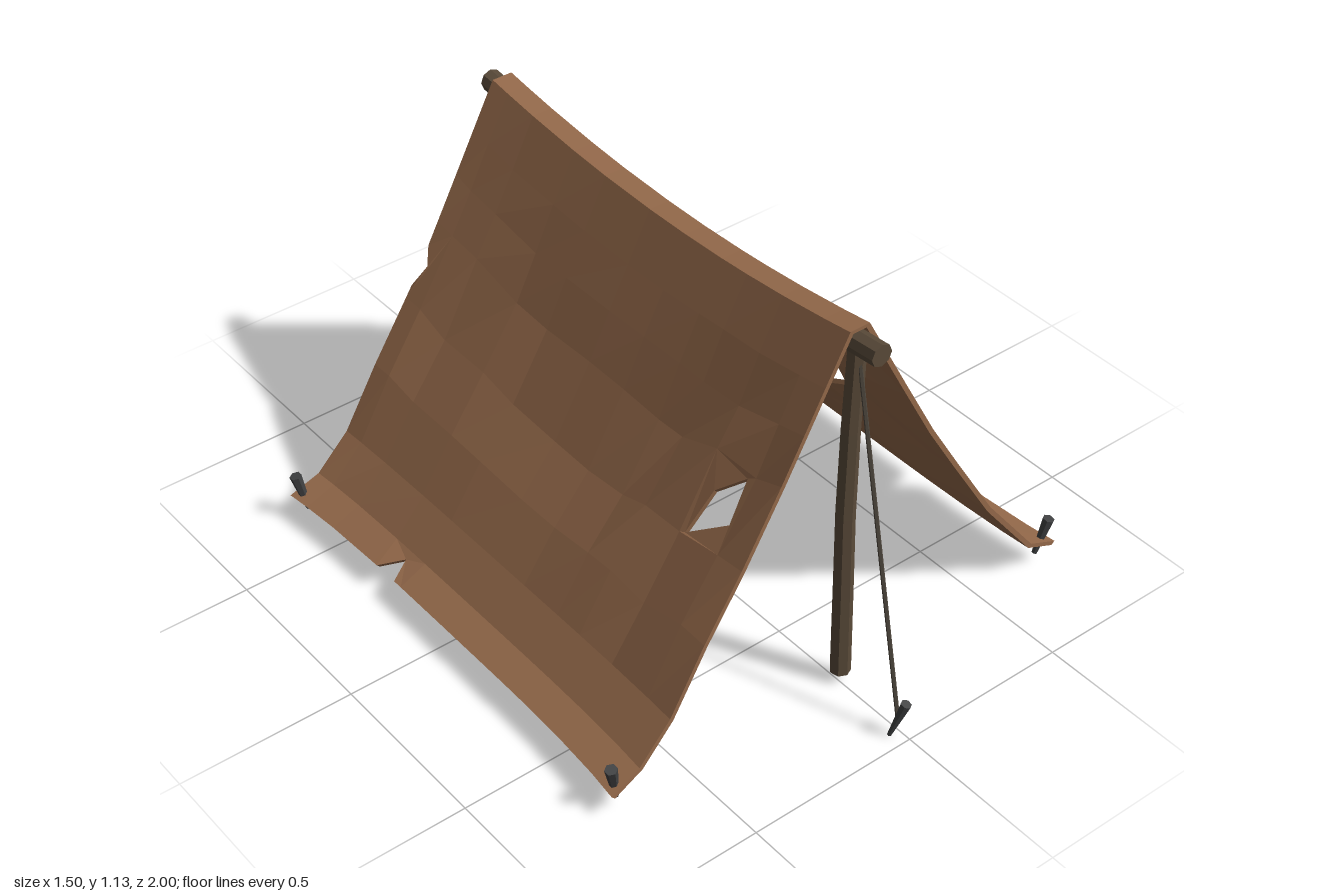
import * as THREE from 'three';
import { mergeGeometries } from 'three/addons/utils/BufferGeometryUtils.js';

const canvas = new THREE.MeshStandardMaterial({ color: 0x94694a });
const wood = new THREE.MeshStandardMaterial({ color: 0x594a39 });
const metal = new THREE.MeshStandardMaterial({ color: 0x404142 });
const cord = new THREE.MeshStandardMaterial({ color: 0x4d463d });
canvas.name = 'canvas'; wood.name = 'wood'; metal.name = 'metal'; cord.name = 'cord';

// Slope of the sheet from ridge to hem: [x, y]
const PROFILE = [[0, 1.135], [0.03, 1.13], [0.17, 0.87], [0.295, 0.64], [0.47, 0.365],
  [0.53, 0.24], [0.65, 0.105], [0.76, 0.065]];
const FRONT = 0.74, BACK = -0.66, THICK = 0.012;

// Grid lines of the sheet, spaced so every tear lies inside one cell
const X_RIGHT = [-0.72, -0.64, -0.55, -0.45, -0.34, -0.225, -0.16, -0.1];
const X_LEFT = [0.1, 0.175, 0.265, 0.36, 0.49, 0.645, 0.72];
const XS = [...X_RIGHT, -0.03, 0.03, ...X_LEFT];
const ZS = [-0.66, -0.595, -0.485, -0.31, -0.18, 0, 0.14, 0.28, 0.372, 0.505, 0.65, 0.74];

// Torn holes, as [x, z]
const HOLES = [
  [[-0.335, 0.52], [-0.27, 0.55], [-0.23, 0.625], [-0.29, 0.637]],
  [[0.22, 0.38], [0.255, 0.376], [0.245, 0.46], [0.18, 0.49], [0.19, 0.445]],
  [[0.54, -0.55], [0.635, -0.58], [0.545, -0.5], [0.5, -0.51]],
];
// Nicks in the hems, as [x, z]
const NICKS = [
  [[-0.72, -0.29], [-0.66, -0.24], [-0.72, -0.21]],
  [[0.72, 0.37], [0.655, 0.322], [0.72, 0.29]],
  [[-0.26, -0.66], [-0.285, -0.633], [-0.32, -0.66]],
];

const along = z => THREE.MathUtils.clamp((z - 0.04) / 0.7, -1, 1);
const droop = z => 0.055 * (1 - along(z) ** 2);

function flat(geo) {
  const g = geo.index ? geo.toNonIndexed() : geo;
  g.computeVertexNormals();
  return g;
}

// Creases fanning out from one end of the ridge
function creases(x, dz) {
  const r = Math.hypot(x, dz);
  return r > 0.85 ? 0 : Math.sin(10 * Math.atan2(x, dz)) * Math.sin(Math.PI * r / 0.85);
}

function sheetHeight(x, z) {
  const ax = Math.abs(x);
  let i = 1;
  while (i < PROFILE.length - 1 && ax > PROFILE[i][0]) i++;
  const [x0, y0] = PROFILE[i - 1], [x1, y1] = PROFILE[i];
  const base = y0 + (y1 - y0) * (ax - x0) / (x1 - x0);
  const s = THREE.MathUtils.clamp((ax - 0.03) / 0.52, 0, 1);
  const belly = Math.sin(Math.PI * s);
  const folds = 0.022 * creases(ax - 0.03, FRONT - z) + 0.012 * creases(ax - 0.03, z - BACK);
  return base - droop(z) * (1 - s) - 0.05 * (1 - along(z) ** 2) * belly + folds * belly;
}

// One grid cell of cloth, with any tear that falls inside it
function clothCell(x0, x1, z0, z1) {
  const inside = pts => pts.every(([x, z]) => x >= x0 && x <= x1 && z >= z0 && z <= z1);
  const toVec = pts => pts.map(([x, z]) => new THREE.Vector2(x, -z));
  let outline = [[x0, z0], [x0, z1], [x1, z1], [x1, z0]];
  const nick = NICKS.find(inside);
  if (nick) {
    const [a, , c] = nick;
    if (a[0] === c[0] && a[0] === x0) outline.splice(1, 0, ...nick);
    else if (a[0] === c[0]) outline.splice(3, 0, ...nick);
    else outline.push(...nick);
  }
  const shape = new THREE.Shape(toVec(outline));
  HOLES.filter(inside).forEach(h => shape.holes.push(new THREE.Path(toVec(h))));
  return new THREE.ExtrudeGeometry(shape, { depth: THICK, bevelEnabled: false }).rotateX(-Math.PI / 2);
}

// Drape the flat cells over the ridge
function makeSheet() {
  const cells = [];
  for (let i = 0; i < XS.length - 1; i++)
    for (let j = 0; j < ZS.length - 1; j++)
      cells.push(clothCell(XS[i], XS[i + 1], ZS[j], ZS[j + 1]));
  const geo = mergeGeometries(cells.map(c => c.index ? c.toNonIndexed() : c));
  const p = geo.attributes.position;
  for (let i = 0; i < p.count; i++) {
    const x = p.getX(i), z = p.getZ(i), under = THICK - p.getY(i);
    const out = Math.abs(x) / 0.72, t = along(z);
    p.setXYZ(i,
      x * (1 + 0.035 * t ** 4 * out ** 3) - Math.sign(x) * under * 0.8,
      sheetHeight(x, z) - under * 0.8,
      z + 0.013 * t ** 5 * out ** 6);
  }
  return flat(geo);
}

export function createModel() {
  const model = new THREE.Group();
  const add = (name, geo, material) => {
    const mesh = new THREE.Mesh(geo, material);
    mesh.name = name;
    model.add(mesh);
    return mesh;
  };
  // Straight tapered rod from a (bottom) to b (top)
  const rod = (name, a, b, rBottom, rTop, sides, material) => {
    const from = new THREE.Vector3(...a), to = new THREE.Vector3(...b);
    const dir = to.clone().sub(from);
    const mesh = add(name, flat(new THREE.CylinderGeometry(rTop, rBottom, dir.length(), sides)), material);
    mesh.position.copy(from).add(to).multiplyScalar(0.5);
    mesh.quaternion.setFromUnitVectors(new THREE.Vector3(0, 1, 0), dir.normalize());
  };

  add('canvasSheet', makeSheet(), canvas);

  // Ridge pole, sagging with the sheet
  const ridge = new THREE.CylinderGeometry(0.031, 0.031, 1.53, 8, 8).rotateX(Math.PI / 2);
  ridge.translate(0, 1.094, 0.052);
  const rp = ridge.attributes.position;
  for (let i = 0; i < rp.count; i++) rp.setY(i, rp.getY(i) - droop(rp.getZ(i)));
  add('ridgePole', flat(ridge), wood);

  // Upright poles, slightly crooked
  for (const [name, z, foot] of [['frontPole', 0.73, 0.035], ['backPole', -0.63, 0.012]]) {
    const h = 1.085 - foot;
    const pole = new THREE.CylinderGeometry(0.024, 0.028, h, 7, 4).translate(0, foot + h / 2, z);
    const p = pole.attributes.position;
    for (let i = 0; i < p.count; i++)
      p.setX(i, p.getX(i) + 0.006 * Math.cos(p.getY(i) * 5));
    add(name, flat(pole), wood);
  }

  // Guy ropes and their pegs
  rod('frontRope', [-0.018, 0.06, 0.972], [0, 1.06, 0.74], 0.006, 0.006, 5, cord);
  rod('backRope', [-0.018, 0.06, -0.965], [0, 1.06, -0.652], 0.006, 0.006, 5, cord);
  rod('frontRopePeg', [-0.03, 0.003, 0.957], [-0.008, 0.118, 0.987], 0.006, 0.015, 6, metal);
  rod('backRopePeg', [-0.03, 0.003, -0.957], [-0.008, 0.118, -0.987], 0.006, 0.015, 6, metal);

  // Corner pegs
  for (const s of [-1, 1])
    for (const [end, z, lean] of [['front', 0.72, 0.015], ['back', -0.645, -0.012]])
      rod(`${end}${s > 0 ? 'Left' : 'Right'}CornerPeg`, [s * 0.708, 0.037, z], [s * 0.733, 0.152, z + lean],
        0.008, 0.017, 6, metal);

  return model;
}
